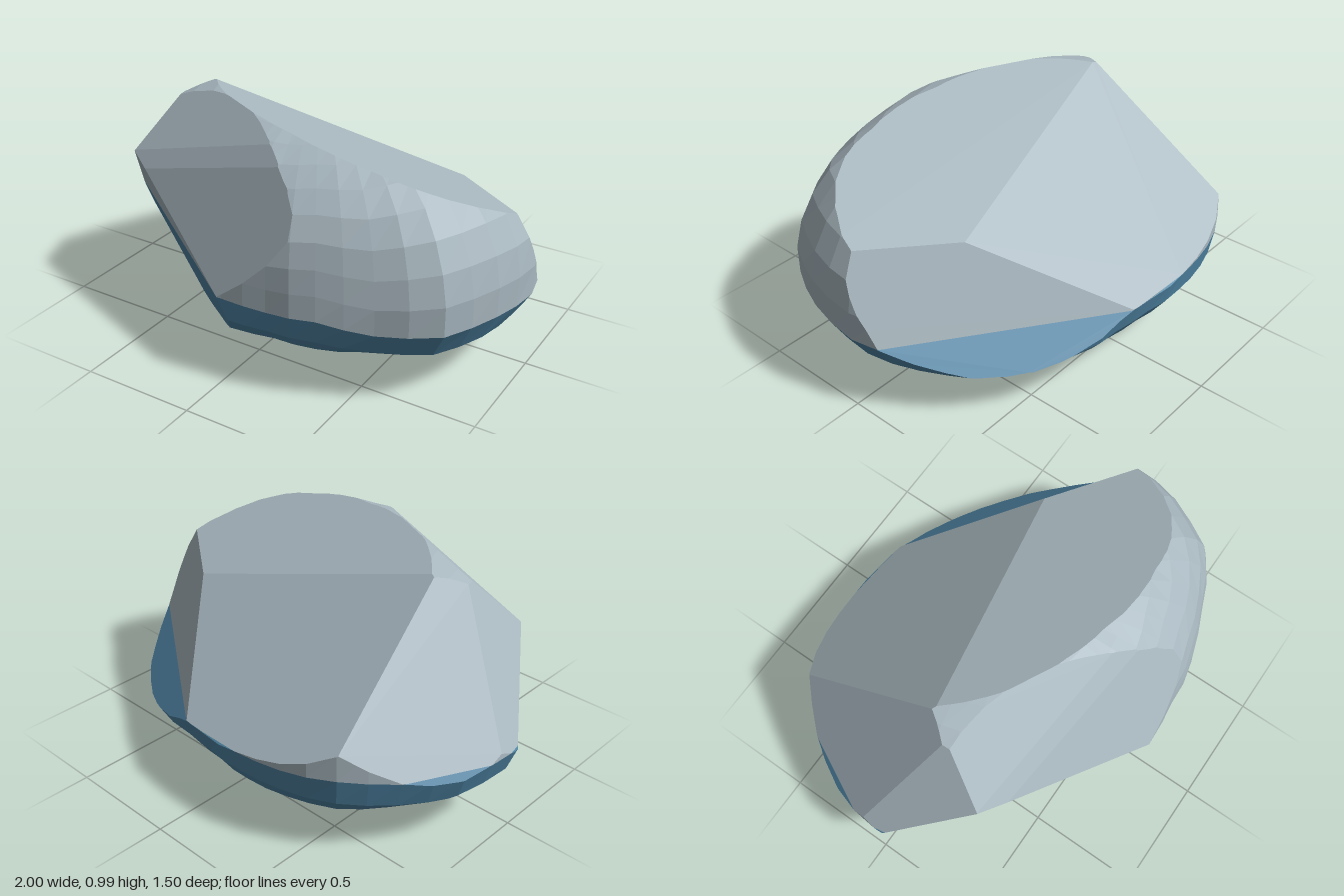
import * as THREE from 'three';

const WATERLINE = 0.36;
const SEGMENTS = 48;

// Plan outline: radius every 15 degrees, from +x towards +z
const OUTLINE = [1, 1, 0.975, 0.87, 0.805, 0.755, 0.75, 0.78, 0.82, 0.9, 0.97, 1,
  1, 0.985, 0.945, 0.9, 0.84, 0.776, 0.74, 0.74, 0.79, 0.87, 0.93, 0.97];

// Rise and fall of the waterline at the same angles
const WATER_OFFSET = [-0.025, -0.01, -0.015, -0.02, 0.02, 0.01, 0.02, 0.03, 0.03, 0.03, 0.03, 0.02,
  0, -0.01, 0, 0.01, 0, -0.01, -0.02, -0.03, -0.03, -0.03, -0.03, -0.03];

// Broken faces of the rock: outward normal x, y, z and distance from the origin
const CUTS = [
  [0.177, 0.931, -0.319, 0.8],    // crown
  [0.079, 0.794, -0.603, 0.714],  // sloping back
  [-0.3, 0.72, 0.62, 0.948],      // front of the peak
  [-0.28, 0.6, 0.75, 0.895],      // rounding below the peak
  [-0.25, 0.45, 0.86, 0.823],     // front slope
  [-0.72, 0.6, -0.35, 0.97],      // right back shoulder
  [-0.85, 0.52, 0.1, 1.033],      // right shoulder
  [-0.558, -0.326, 0.762, 0.46],  // overhanging front right face
  [-0.37, -0.93, 0, 0.12],        // right underside
];
const STEEP_CUT = [0.53, 0.406, -0.742, 0.742];  // back left, above the water
const LEDGE_CUT = [0.41, 0.707, -0.577, 0.704];  // back left, at the water

// Value from a 24-step table at any angle
function around(table, angle) {
  const t = (angle / (Math.PI * 2)) * 24;
  const i = Math.floor(t);
  return THREE.MathUtils.lerp(table[i % 24], table[(i + 1) % 24], t - i);
}

// Point on the uncut boulder in a given direction from its centre
function boulderPoint(angle, elevation) {
  const radius = around(OUTLINE, angle);
  const tilt = around(WATER_OFFSET, angle) / radius;
  const e = elevation + tilt * Math.cos(elevation) ** 2;
  const c = Math.cos(e), dy = Math.sin(e);
  const dx = c * Math.cos(angle), dz = c * Math.sin(angle);

  // squarer above the water, shallower underneath at the front left
  const lift = 0.055 * THREE.MathUtils.smoothstep(0.7 * (dx + dz), -0.2, 0.5);
  const height = dy > 0 ? 0.66 : WATERLINE - lift;
  const power = dy > 0 ? 2.6 : 2.3;
  const bump = 1 + 0.008 * Math.sin(angle * 7 + e * 5) * Math.sin(e * 9 - angle * 4) * c;
  const r = bump * ((c / radius) ** power + (Math.abs(dy) / height) ** power) ** (-1 / power);
  return new THREE.Vector3(dx * r, WATERLINE + dy * r, dz * r);
}

// Triangles of the boulder between two elevations
function boulderBand(from, to, rings) {
  const faces = [];
  const point = (i, j) => boulderPoint(
    ((i % SEGMENTS) / SEGMENTS) * Math.PI * 2,
    THREE.MathUtils.lerp(from, to, j / rings)
  );
  for (let j = 0; j < rings; j++) {
    for (let i = 0; i < SEGMENTS; i++) {
      const a = point(i, j), b = point(i, j + 1), c = point(i + 1, j), d = point(i + 1, j + 1);
      faces.push([a, b, c], [c, b, d]);
    }
  }
  return faces;
}

// Cut the faces with a plane and close the opening with a flat face
function cutFaces(faces, [nx, ny, nz, distance]) {
  const normal = new THREE.Vector3(nx, ny, nz);
  const kept = [], rim = [];
  for (const face of faces) {
    const inside = [];
    face.forEach((p, i) => {
      const q = face[(i + 1) % face.length];
      const hp = normal.dot(p) - distance, hq = normal.dot(q) - distance;
      if (hp <= 0) inside.push(p);
      if ((hp <= 0) !== (hq <= 0)) {
        const crossing = p.clone().lerp(q, hp / (hp - hq));
        inside.push(crossing);
        rim.push(crossing);
      }
    });
    if (inside.length > 2) kept.push(inside);
  }
  if (rim.length > 2) {
    const centre = new THREE.Vector3();
    rim.forEach((p) => centre.addScaledVector(p, 1 / rim.length));
    const u = new THREE.Vector3(1, 0.3, 0.2).cross(normal).normalize();
    const v = normal.clone().cross(u);
    const turn = (p) => {
      const offset = p.clone().sub(centre);
      return Math.atan2(offset.dot(v), offset.dot(u));
    };
    kept.push(rim.sort((p, q) => turn(p) - turn(q)));
  }
  return kept;
}

function rockPart(name, faces, cuts, material) {
  const triangles = [];
  for (const face of cuts.reduce(cutFaces, faces)) {
    for (let i = 1; i < face.length - 1; i++) {
      const triangle = new THREE.Triangle(face[0], face[i], face[i + 1]);
      if (triangle.getArea() > 1e-8) triangles.push(triangle.a, triangle.b, triangle.c);
    }
  }
  const geometry = new THREE.BufferGeometry().setFromPoints(triangles);
  geometry.computeVertexNormals();
  const mesh = new THREE.Mesh(geometry, material);
  mesh.name = name;
  return mesh;
}

export function createModel() {
  const stone = new THREE.MeshStandardMaterial({ color: 0xa9b8c0, flatShading: true });
  stone.name = 'grey stone';
  const wet = new THREE.MeshStandardMaterial({ color: 0x5086a6, flatShading: true });
  wet.name = 'blue base';

  const group = new THREE.Group();
  group.name = 'rock';
  group.add(
    rockPart('upperRock', boulderBand(0, Math.PI / 2, 12), [...CUTS, STEEP_CUT], stone),
    rockPart('lowerRock', boulderBand(-Math.PI / 2, 0, 12), [...CUTS, LEDGE_CUT], wet)
  );
  return group;
}
